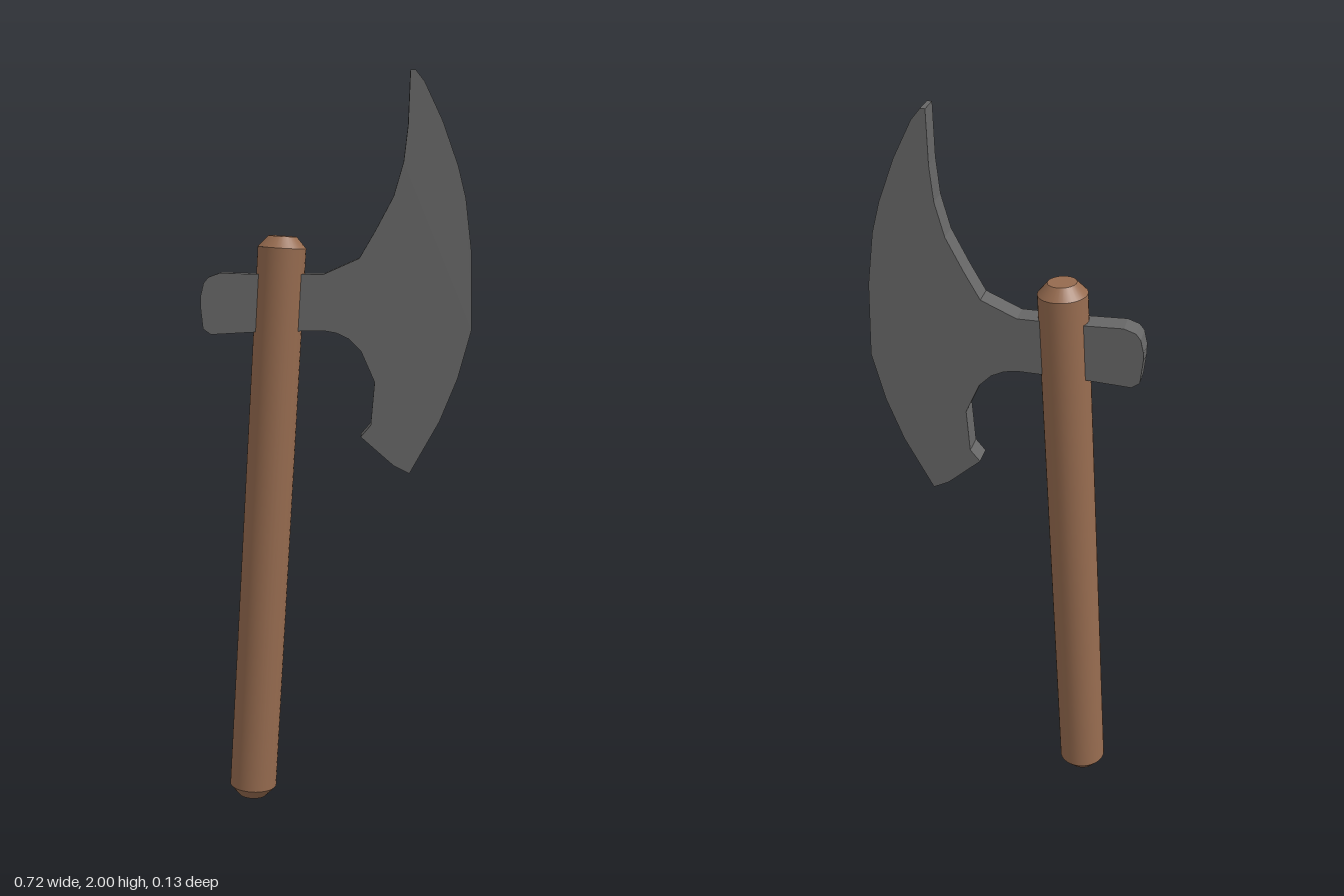
import * as THREE from 'three';

const RADIUS = 0.065, CAP_RADIUS = 0.038, CHAMFER = 0.03, THICKNESS = 0.062;

export function createModel() {
  const axe = new THREE.Group();
  axe.name = 'axe';
  const wood = new THREE.MeshStandardMaterial({ color: 0x966b4f });
  const steel = new THREE.MeshStandardMaterial({ color: 0x666666 });

  // Leaning handle: a round shaft with a chamfered cap at each end
  const bottom = new THREE.Vector3(-0.238, 0.003, 0);
  const top = new THREE.Vector3(-0.144, 1.571, 0);
  const axis = top.clone().sub(bottom);
  const length = axis.length();
  const handle = new THREE.Group();
  handle.name = 'handle';
  handle.position.copy(bottom).add(top).multiplyScalar(0.5);
  handle.quaternion.setFromUnitVectors(new THREE.Vector3(0, 1, 0), axis.normalize());
  const addSection = (name, rTop, rBottom, height, y, open) => {
    const geometry = new THREE.CylinderGeometry(rTop, rBottom, height, 32, 1, open);
    const mesh = new THREE.Mesh(geometry, wood);
    mesh.name = name;
    mesh.position.y = y;
    handle.add(mesh);
  };
  const capY = (length - CHAMFER) / 2;
  addSection('shaft', RADIUS, RADIUS, length - 2 * CHAMFER, 0, true);
  addSection('topCap', CAP_RADIUS, RADIUS, CHAMFER, capY, false);
  addSection('bottomCap', RADIUS, CAP_RADIUS, CHAMFER, -capY, false);
  axe.add(handle);

  // Flat axe head, clockwise from the butt
  const outline = [
    [-0.363, 1.41], [-0.354, 1.447], [-0.341, 1.463], [-0.31, 1.474], [-0.214, 1.471],
    [-0.034, 1.471], [0.061, 1.513], // neck, upper side
    [0.103, 1.585], [0.151, 1.675], [0.177, 1.765], [0.188, 1.86], [0.193, 2], [0.206, 2], // horn
    [0.23, 1.97], [0.278, 1.87], [0.32, 1.754], [0.341, 1.67], [0.358, 1.526], // cutting edge
    [0.361, 1.325], [0.325, 1.193], [0.278, 1.077], [0.198, 0.934],
    [0.156, 0.955], [0.066, 1.034], [0.093, 1.066], [0.103, 1.183], // beard
    [0.066, 1.267], [0.034, 1.299], [0, 1.315], [-0.034, 1.321], // neck, lower side
    [-0.214, 1.317], [-0.336, 1.31], [-0.357, 1.325], [-0.363, 1.384],
  ];
  const shape = new THREE.Shape(outline.map(([x, y]) => new THREE.Vector2(x, y)));
  const geometry = new THREE.ExtrudeGeometry(shape, { depth: THICKNESS, bevelEnabled: false });
  geometry.translate(0, 0, -THICKNESS / 2);
  const blade = new THREE.Mesh(geometry, steel);
  blade.name = 'axeHead';
  axe.add(blade);

  return axe;
}
